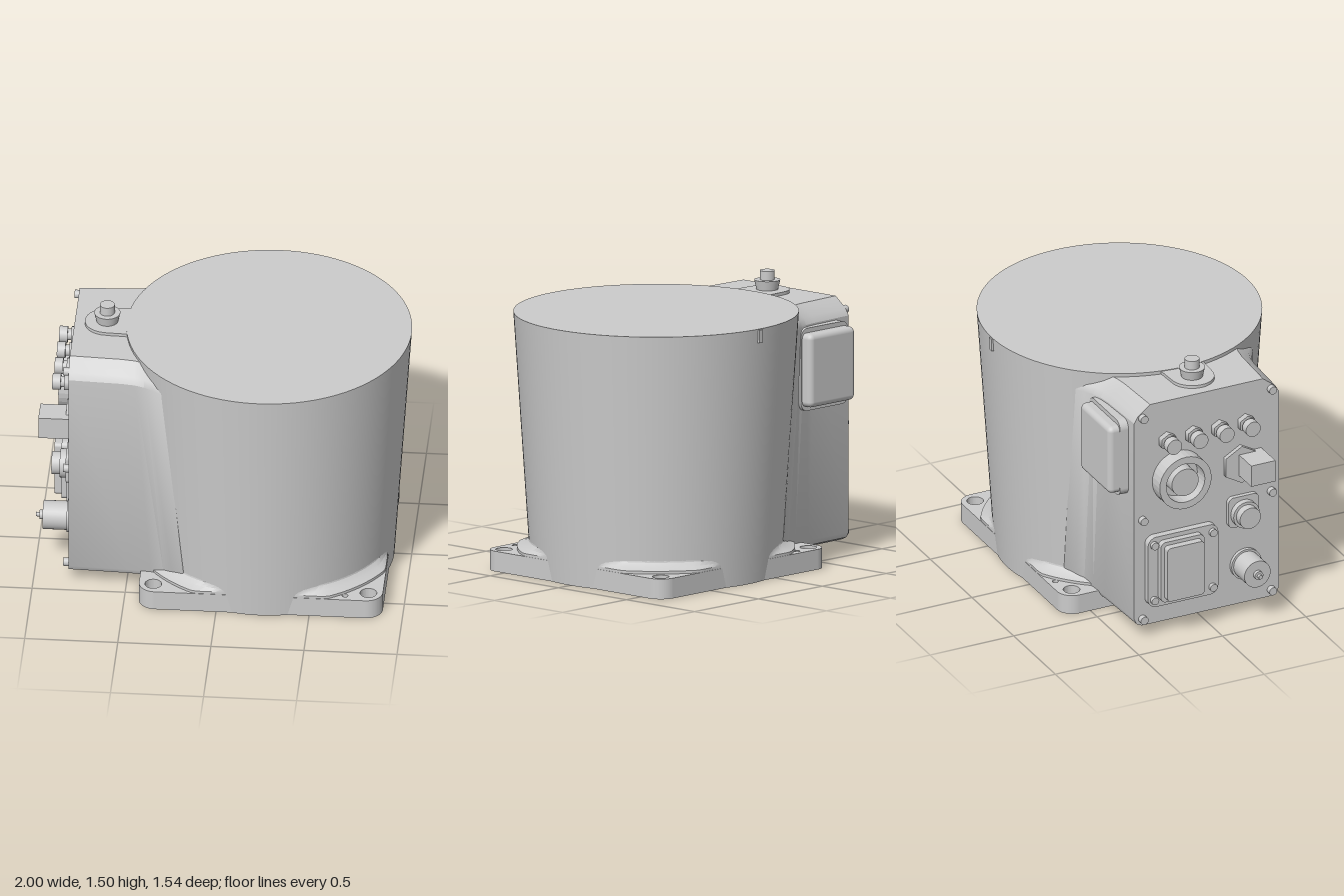
import * as THREE from 'three';
import { toCreasedNormals } from 'three/addons/utils/BufferGeometryUtils.js';
import { RoundedBoxGeometry } from 'three/addons/geometries/RoundedBoxGeometry.js';

const mat = new THREE.MeshStandardMaterial({ color: 0xcccccc });
const matDouble = new THREE.MeshStandardMaterial({ color: 0xcccccc, side: THREE.DoubleSide });
const CX = 0.235; // axis of the drum
const PANEL = -0.81; // x of the connector panel

// Skin closed rings of [x, y, z] points, one after another
function loft(rings) {
  const n = rings[0].length, idx = [];
  for (let r = 0; r < rings.length - 1; r++) {
    for (let i = 0; i < n; i++) {
      const a = r * n + i, b = r * n + (i + 1) % n;
      idx.push(a, b, a + n, b, b + n, a + n);
    }
  }
  const g = new THREE.BufferGeometry();
  g.setAttribute('position', new THREE.Float32BufferAttribute(rings.flat(2), 3));
  g.setIndex(idx);
  return toCreasedNormals(g, 0.5);
}

function roundedRect(w, h, r) {
  const s = new THREE.Shape(), x = w / 2, y = h / 2;
  s.absarc(x - r, y - r, r, 0, Math.PI / 2);
  s.absarc(-x + r, y - r, r, Math.PI / 2, Math.PI);
  s.absarc(-x + r, -y + r, r, Math.PI, Math.PI * 1.5);
  s.absarc(x - r, -y + r, r, Math.PI * 1.5, Math.PI * 2);
  s.closePath();
  return s;
}

function hole(shape, x, y, r) {
  shape.holes.push(new THREE.Path().absarc(x, y, r, 0, Math.PI * 2, true));
}

const extrude = (shape, depth) =>
  new THREE.ExtrudeGeometry(shape, { depth, bevelEnabled: false, curveSegments: 16 });

export function createModel() {
  const model = new THREE.Group();

  const add = (name, geo, x = 0, y = 0, z = 0, m = mat, parent = model) => {
    const mesh = new THREE.Mesh(geo, m);
    mesh.name = name;
    mesh.position.set(x, y, z);
    parent.add(mesh);
    return mesh;
  };

  // Drum, slightly wider at the top
  add('drum', new THREE.CylinderGeometry(0.765, 0.672, 1.405, 96), CX, 0.7025, 0);
  add('alignmentTab', new THREE.BoxGeometry(0.03, 0.07, 0.03), CX, 1.365, -0.757);

  // Square base with bolt holes
  const base = roundedRect(1.31, 1.31, 0.09);
  for (const sx of [-1, 1]) for (const sy of [-1, 1]) hole(base, sx * 0.578, sy * 0.575, 0.045);
  hole(base, -0.455, 0.61, 0.016);
  hole(base, 0.455, -0.61, 0.016);
  add('basePlate', extrude(base, 0.11).rotateX(-Math.PI / 2), CX, 0, 0);

  // Sloped skirt between base and drum, cut back round the bolt pads
  const skirtRing = (t, y) => Array.from({ length: 144 }, (_, i) => {
    const a = i / 144 * Math.PI * 2, c = Math.cos(a), s = Math.sin(a);
    const outer = Math.min(0.653 / Math.max(Math.abs(c), Math.abs(s)), 0.745);
    const r = outer + (Math.min(outer, 0.678) - outer) * t;
    return [CX + c * r, y, s * r];
  });
  add('baseSkirt', loft([skirtRing(0, 0.105), skirtRing(0, 0.125), skirtRing(0.6, 0.14),
    skirtRing(0.9, 0.16), skirtRing(1, 0.19)]), 0, 0, 0, matDouble);

  // Connector housing, flaring into the drum and following its taper
  const section = (x, h, lean) => [
    [-h, 0.11], [-h + 0.015, 0.08], [-h + 0.045, 0.065], [h - 0.045, 0.065], [h - 0.015, 0.08], [h, 0.11],
    [h, 1.29], [h - 0.02, 1.325], [h - 0.095, 1.385], [-h + 0.095, 1.385], [-h + 0.02, 1.325], [-h, 1.29],
  ].map(([z, y]) => [x + lean * 0.09 * (1.4 - y), y, z]);
  const housing = [[PANEL, 0.433, 0], [-0.53, 0.447, 0.4], [-0.46, 0.457, 0.8], [-0.41, 0.475, 1],
    [-0.36, 0.505, 1], [-0.3, 0.54, 1], [-0.1, 0.54, 1]].map(s => section(...s));
  housing.unshift(housing[0].map(() => [PANEL, 0.7, 0]));
  add('connectorHousing', loft(housing), 0, 0, 0, matDouble);

  // Raised boss and plug on the housing top
  const boss = new THREE.Shape();
  boss.moveTo(-0.4, -0.2);
  boss.quadraticCurveTo(-0.49, -0.125, -0.54, -0.125);
  boss.lineTo(-0.63, -0.122);
  boss.absarc(-0.635, 0, 0.12, -Math.PI / 2, Math.PI / 2, true);
  boss.lineTo(-0.54, 0.125);
  boss.quadraticCurveTo(-0.49, 0.125, -0.4, 0.2);
  boss.closePath();
  add('topBoss', extrude(boss, 0.02).rotateX(-Math.PI / 2), 0, 1.382, 0);
  add('topPlugCollar', new THREE.CylinderGeometry(0.07, 0.058, 0.053, 32), -0.635, 1.428, 0);
  add('topPlugCap', new THREE.CylinderGeometry(0.04, 0.04, 0.05, 32), -0.635, 1.48, 0);

  // Cover box on the rear side of the housing
  add('sideBoxFlange', extrude(roundedRect(0.37, 0.45, 0.05), 0.05), -0.565, 1.055, -0.487);
  add('sideBox', new RoundedBoxGeometry(0.355, 0.4, 0.12, 4, 0.03), -0.567, 1.055, -0.49);

  // Connector panel: local x = model z, local y up, local z points outward
  const panel = new THREE.Group();
  panel.name = 'connectorPanel';
  panel.position.x = PANEL;
  panel.rotation.y = -Math.PI / 2;
  model.add(panel);

  const put = (name, geo, z, y, out) => add(name, geo, z, y, out, mat, panel);
  const rod = (name, z, y, r, from, to, sides = 32) =>
    put(name, new THREE.CylinderGeometry(r, r, to - from, sides).rotateX(Math.PI / 2), z, y, (from + to) / 2);
  const plate = (name, z, y, w, h, r, depth, from = -0.005) =>
    put(name, extrude(roundedRect(w, h, r), depth), z, y, from);

  for (const z of [-0.385, 0.385]) {
    for (const y of [0.105, 0.7, 1.315]) rod('panelScrew', z, y, 0.023, -0.01, 0.03, 16);
  }

  // Row of four small sockets
  for (const z of [-0.24, -0.083, 0.074, 0.23]) {
    rod('socketNut', z, 1.15, 0.05, -0.01, 0.035, 6);
    rod('socketNeck', z, 1.15, 0.03, 0.03, 0.06);
    rod('socketCap', z, 1.15, 0.044, 0.055, 0.1);
  }

  // Large round connector: collar around a sunken core
  const collar = new THREE.Shape().absarc(0, 0, 0.155, 0, Math.PI * 2);
  hole(collar, 0, 0, 0.115);
  put('largeConnectorCollar', extrude(collar, 0.095), -0.17, 0.915, -0.005);
  rod('largeConnectorCore', -0.17, 0.915, 0.08, -0.01, 0.085);

  // Square jack on its hexagonal mount
  rod('jackMount', 0.2, 0.91, 0.11, -0.01, 0.025, 6);
  put('squareJack', new THREE.BoxGeometry(0.145, 0.125, 0.17), 0.255, 0.91, 0.085);

  // Mid-height round connector with square flange
  plate('roundConnectorFlange', 0.21, 0.63, 0.18, 0.18, 0.03, 0.03);
  rod('roundConnectorRing', 0.21, 0.62, 0.078, 0.02, 0.06);
  rod('roundConnectorBody', 0.21, 0.62, 0.062, 0.05, 0.105);

  // Lower round connector with a tip
  rod('lowerConnectorBase', 0.23, 0.3, 0.09, -0.01, 0.02);
  rod('lowerConnectorBody', 0.23, 0.3, 0.078, 0.015, 0.15);
  rod('lowerConnectorTip', 0.23, 0.3, 0.025, 0.14, 0.17);
  rod('lowerConnectorPin', 0.23, 0.3, 0.012, 0.165, 0.19);

  // Rectangular connector with screwed mounting plate
  plate('rectConnectorPlate', -0.16, 0.39, 0.42, 0.42, 0.05, 0.045);
  plate('rectConnectorStep', -0.18, 0.395, 0.26, 0.36, 0.03, 0.08);
  plate('rectConnectorBody', -0.18, 0.395, 0.22, 0.32, 0.02, 0.12);
  for (const z of [-0.335, 0.015]) {
    for (const y of [0.225, 0.555]) rod('rectConnectorScrew', z, y, 0.022, 0.03, 0.06, 16);
  }

  return model;
}
